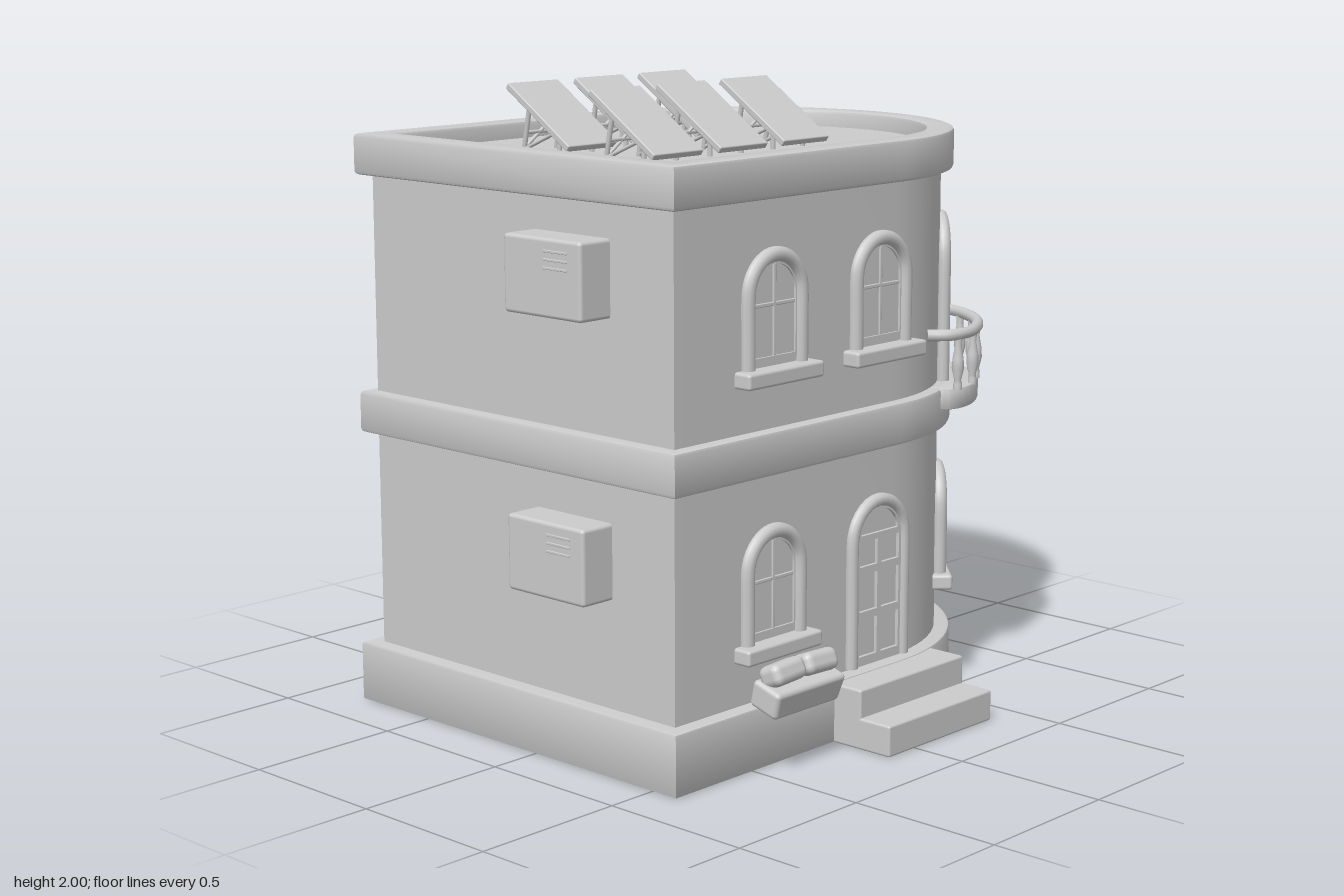
import * as THREE from 'three';
import { toCreasedNormals } from 'three/addons/utils/BufferGeometryUtils.js';
import { RoundedBoxGeometry } from 'three/addons/geometries/RoundedBoxGeometry.js';

const grey = new THREE.MeshStandardMaterial({ color: 0xcccccc });
const R = 0.655, CX = 0.195, CZ = -0.105; // curved end of the wall: radius and centre

function add(parent, name, geometry, x = 0, y = 0, z = 0) {
  const m = new THREE.Mesh(geometry, grey);
  m.name = name;
  m.position.set(x, y, z);
  parent.add(m);
  return m;
}

function box(parent, name, [w, h, d], [x, y, z], r = 0.008) {
  return add(parent, name, new RoundedBoxGeometry(w, h, d, 2, r), x, y, z);
}

function strut(parent, name, a, b, r) {
  const p = new THREE.Vector3(...a), q = new THREE.Vector3(...b);
  const m = add(parent, name, new THREE.CylinderGeometry(r, r, p.distanceTo(q), 8));
  m.position.copy(p).lerp(q, 0.5);
  m.quaternion.setFromUnitVectors(new THREE.Vector3(0, 1, 0), q.sub(p).normalize());
}

// Extrusion whose outline and depth include the bevel
function extrude(shape, depth, bevel = 0) {
  const g = new THREE.ExtrudeGeometry(shape, {
    depth: depth - 2 * bevel, curveSegments: 24, bevelEnabled: bevel > 0,
    bevelSize: bevel, bevelThickness: bevel, bevelOffset: -bevel, bevelSegments: 2,
  });
  g.translate(0, 0, bevel);
  return toCreasedNormals(g, 0.6);
}

// House plan grown outward by e: square at the left, half round at the right
function plan(e, Type = THREE.Shape) {
  const s = new Type(), r = R + e, left = -0.787 - e;
  s.moveTo(left, -r);
  s.lineTo(CX, -r);
  s.absarc(CX, 0, r, -Math.PI / 2, Math.PI / 2, false);
  s.lineTo(left, r);
  s.closePath();
  return s;
}

function storey(parent, name, e, y0, y1, bevel = 0, hole = null) {
  const s = plan(e);
  if (hole !== null) s.holes.push(plan(hole, THREE.Path));
  const g = extrude(s, y1 - y0, bevel);
  g.rotateX(-Math.PI / 2);
  add(parent, name, g, 0, y0, CZ);
}

// Round-headed outline, w = half width
function arch(w, y0, top, Type = THREE.Shape) {
  const s = new Type();
  s.moveTo(-w, y0);
  s.lineTo(w, y0);
  s.lineTo(w, top - w);
  s.absarc(0, top - w, w, 0, Math.PI, false);
  s.closePath();
  return s;
}

function archTrim(parent, name, w, top, r) {
  const pts = [[-w, 0], [-w, (top - w) / 2]];
  for (let i = 0; i <= 12; i++) {
    const a = Math.PI * (1 - i / 12);
    pts.push([w * Math.cos(a), top - w + w * Math.sin(a)]);
  }
  pts.push([w, (top - w) / 2], [w, 0]);
  const curve = new THREE.CatmullRomCurve3(pts.map(([x, y]) => new THREE.Vector3(x, y, 0)));
  add(parent, name, new THREE.TubeGeometry(curve, 48, r, 10), 0, 0, 0.006);
}

function makeWindow(curved) {
  const g = new THREE.Group();
  g.name = 'window';
  add(g, 'glass', extrude(arch(0.115, 0, 0.34), 0.03), 0, 0, -0.027);
  archTrim(g, 'windowSurround', 0.117, 0.338, 0.023);
  const sash = arch(0.105, 0.01, 0.325);
  sash.holes.push(arch(0.09, 0.035, 0.31, THREE.Path));
  add(g, 'sash', extrude(sash, 0.014), 0, 0, -0.004);
  box(g, 'mullion', [0.012, 0.28, 0.012], [0, 0.17, 0.002], 0.003);
  box(g, 'transom', [0.18, 0.012, 0.012], [0, 0.19, 0.002], 0.003);
  const out = curved ? 0.045 : 0.06;
  box(g, 'sill', [0.335, 0.05, out + 0.045], [0, -0.02, (out - 0.045) / 2], 0.01);
  return g;
}

function makeDoor() {
  const g = new THREE.Group();
  g.name = 'door';
  add(g, 'doorPanel', extrude(arch(0.125, 0, 0.525), 0.03), 0, 0, -0.027);
  archTrim(g, 'doorSurround', 0.124, 0.522, 0.021);
  const leaf = arch(0.115, 0, 0.515);
  for (const side of [-1, 1]) {
    for (const [y0, y1] of [[0.03, 0.15], [0.175, 0.295], [0.32, 0.4]]) {
      const p = new THREE.Path(), a = side * 0.01, b = side * 0.095;
      p.moveTo(a, y0);
      p.lineTo(b, y0);
      p.lineTo(b, y1);
      p.lineTo(a, y1);
      p.closePath();
      leaf.holes.push(p);
    }
  }
  const fan = new THREE.Path();
  fan.absellipse(0, 0.42, 0.09, 0.075, 0, Math.PI, false);
  fan.closePath();
  leaf.holes.push(fan);
  add(g, 'doorLeaf', extrude(leaf, 0.018), 0, 0, -0.004);
  return g;
}

// Balcony floor, balusters and rail share one bowed path
function makeBalcony() {
  const g = new THREE.Group();
  g.name = 'balcony';
  const half = [[0.28, -0.065], [0.275, 0.015], [0.205, 0.083]];
  const pts = [...half.map(([x, z]) => [-x, z]), [0, 0.13], ...half.reverse()];
  const path = new THREE.CatmullRomCurve3(pts.map(([x, z]) => new THREE.Vector3(x, 0, z)));
  const outline = path.getPoints(36).map((p) => new THREE.Vector2(p.x * 0.98, -p.z - 0.005));
  outline.push(new THREE.Vector2(0.24, 0.12), new THREE.Vector2(-0.24, 0.12));
  const slab = extrude(new THREE.Shape(outline), 0.07, 0.01);
  slab.rotateX(-Math.PI / 2);
  add(g, 'balconyFloor', slab, 0, -0.065, 0);
  add(g, 'balconyRail', new THREE.TubeGeometry(path, 48, 0.019, 10), 0, 0.18, 0);
  const profile = [[0.014, 0], [0.014, 0.02], [0.011, 0.03], [0.02, 0.07], [0.018, 0.1], [0.011, 0.14], [0.014, 0.175]]
    .map(([x, y]) => new THREE.Vector2(x, y));
  for (let i = 0; i < 6; i++) {
    const p = path.getPointAt(0.14 + i * 0.144);
    add(g, 'baluster', new THREE.LatheGeometry(profile, 12), p.x, 0, p.z * 0.97);
  }
  return g;
}

function onStraight(house, item, x, y, back = false) {
  item.position.set(x, y, back ? CZ - R : CZ + R);
  item.rotation.y = back ? Math.PI : 0;
  house.add(item);
}

function onCurve(house, item, degrees, y) {
  const a = THREE.MathUtils.degToRad(degrees);
  item.position.set(CX + R * Math.cos(a), y, CZ + R * Math.sin(a));
  item.rotation.y = Math.PI / 2 - a;
  house.add(item);
}

function makeSolarPanel() {
  const g = new THREE.Group();
  g.name = 'solarPanel';
  const tilt = Math.atan(0.667);
  const panel = box(g, 'panel', [0.215, 0.022, 0.325], [0, 0.115, 0], 0.004);
  panel.rotation.x = tilt;
  for (const x of [-0.07, 0.07]) {
    strut(g, 'backLeg', [x, 0, -0.1], [x, 0.15, -0.07], 0.008);
    strut(g, 'frontLeg', [x, 0, 0.06], [x, 0.07, 0.06], 0.008);
    strut(g, 'brace', [x, 0.01, -0.09], [x, 0.07, 0.05], 0.006);
  }
  strut(g, 'crossBar', [-0.07, 0.06, -0.088], [0.07, 0.06, -0.088], 0.006);
  strut(g, 'crossBrace', [-0.07, 0.01, -0.098], [0.07, 0.13, -0.074], 0.006);
  return g;
}

export function createModel() {
  const house = new THREE.Group();
  house.name = 'house';

  // Stacked body
  storey(house, 'base', 0.05, 0, 0.195, 0.008);
  storey(house, 'lowerWall', 0, 0.18, 0.9);
  storey(house, 'floorBand', 0.04, 0.89, 1.025, 0.012);
  storey(house, 'upperWall', 0, 1.01, 1.72);
  storey(house, 'parapet', 0.04, 1.715, 1.845, 0.012, -0.05);
  storey(house, 'roof', -0.02, 1.7, 1.79);

  // Entrance steps
  box(house, 'landing', [0.51, 0.19, 0.3], [0.125, 0.095, 0.555]);
  box(house, 'step', [0.51, 0.1, 0.25], [0.125, 0.05, 0.695]);

  // Windows, doors and balconies
  onStraight(house, makeDoor(), 0.125, 0.2);
  onStraight(house, makeWindow(false), -0.365, 0.375);
  for (const x of [-0.365, 0.125]) {
    onStraight(house, makeWindow(false), x, 1.21);
    for (const y of [0.375, 1.21]) onStraight(house, makeWindow(false), x, y, true);
  }
  for (const a of [-45, 0, 45]) onCurve(house, makeWindow(true), a, 0.375);
  onCurve(house, makeWindow(true), 0, 1.21);
  for (const a of [-45, 45]) {
    onCurve(house, makeDoor(), a, 1.025);
    onCurve(house, makeBalcony(), a, 1.02);
  }

  // Planter under the front window: tapered trough with two cushions on top
  const trough = new RoundedBoxGeometry(0.31, 0.09, 0.11, 3, 0.015);
  const pos = trough.attributes.position;
  for (let i = 0; i < pos.count; i++) pos.setX(i, pos.getX(i) * (0.97 + pos.getY(i) * 0.7));
  add(house, 'planter', trough, -0.373, 0.24, 0.66).rotation.x = 0.3;
  for (const x of [-0.447, -0.302]) {
    const c = box(house, 'planterCushion', [0.14, 0.07, 0.085], [x, 0.312, 0.668], 0.025);
    c.rotation.set(-0.4, 0, x < -0.4 ? 0.05 : -0.03);
  }

  // Wall-mounted cooling units
  for (const y of [0.648, 1.493]) {
    box(house, 'coolingUnit', [0.15, 0.235, 0.325], [-0.832, y, 0.132], 0.012);
    for (let i = 0; i < 3; i++) {
      box(house, 'vent', [0.006, 0.008, 0.1], [-0.907, y + 0.03 + i * 0.025, 0.19], 0.002);
    }
  }

  // Rooftop panels
  for (const x of [-0.408, -0.118, 0.172]) {
    for (const z of [0.07, -0.295]) {
      const p = makeSolarPanel();
      p.position.set(x, 1.79, z);
      house.add(p);
    }
  }
  return house;
}
